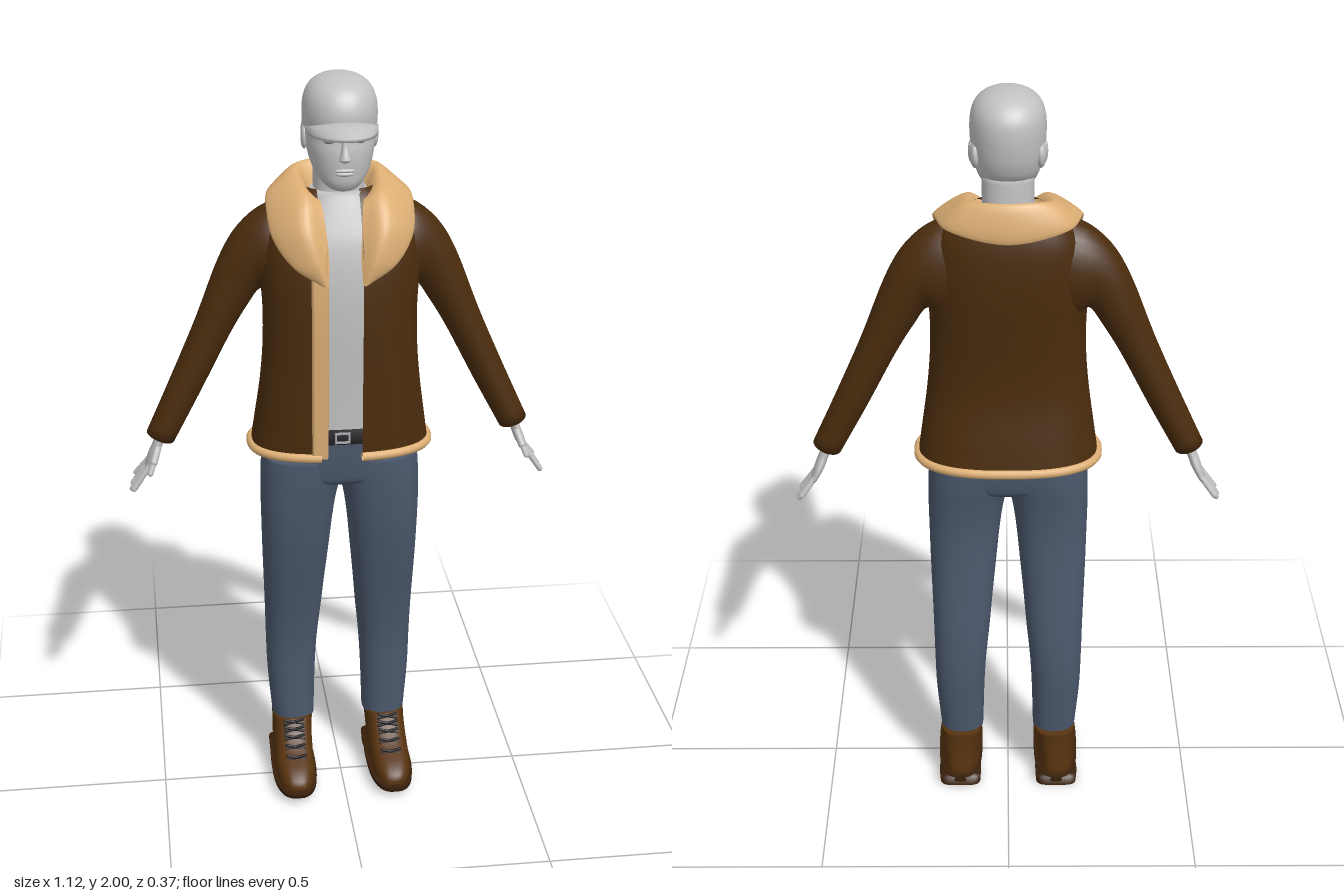
import * as THREE from 'three';

const V = (x, y, z) => new THREE.Vector3(x, y, z);
const mat = (name, color, side = THREE.FrontSide) => {
  const m = new THREE.MeshStandardMaterial({ color, side });
  m.name = name;
  return m;
};

// Surface through rows of points; closed rows wrap round
function grid(rows, closed = true) {
  const n = rows[0].length, pos = [], idx = [];
  rows.forEach(r => r.forEach(p => pos.push(p.x, p.y, p.z)));
  for (let i = 0; i < rows.length - 1; i++) {
    for (let j = 0; j < (closed ? n : n - 1); j++) {
      const k = (j + 1) % n, a = i * n + j, b = i * n + k, c = b + n, d = a + n;
      idx.push(a, b, c, a, c, d);
    }
  }
  const g = new THREE.BufferGeometry();
  g.setAttribute('position', new THREE.Float32BufferAttribute(pos, 3));
  g.setIndex(idx);
  g.computeVertexNormals();
  return g;
}

// Catmull-Rom interpolation between number rows
function smooth(rows, k = 4) {
  const out = [], at = i => rows[Math.max(0, Math.min(rows.length - 1, i))];
  for (let i = 0; i < rows.length - 1; i++) for (let s = 0; s < k; s++) {
    const t = s / k;
    out.push(rows[i].map((p1, c) => {
      const p0 = at(i - 1)[c], p2 = at(i + 1)[c], p3 = at(i + 2)[c];
      return p1 + 0.5 * t * (p2 - p0 + t * (2 * p0 - 5 * p1 + 4 * p2 - p3 + t * (3 * (p1 - p2) + p3 - p0)));
    }));
  }
  out.push(rows[rows.length - 1]);
  return out;
}

// Level cross-section; row = [y, x0, x1, zBack, zFront]
const pw = (v, n) => Math.sign(v) * Math.pow(Math.abs(v), 2 / n);
function ring([y, x0, x1, z0, z1], n, t0 = 0, t1 = Math.PI * 2, count = 40, closed = true) {
  return Array.from({ length: count }, (_, j) => {
    const t = t0 + (t1 - t0) * j / (closed ? count : count - 1);
    return V((x0 + x1) / 2 + (x1 - x0) / 2 * pw(Math.sin(t), n), y,
      (z0 + z1) / 2 + (z1 - z0) / 2 * pw(Math.cos(t), n));
  });
}
const centre = r => {
  const c = r.reduce((s, p) => s.add(p), V(0, 0, 0)).divideScalar(r.length);
  return r.map(() => c.clone());
};
const capped = r => [centre(r[0]), r[0].map(p => p.clone()), ...r, centre(r[r.length - 1])];
const loft = (rows, n = 2.3, k = 4) => grid(capped(smooth(rows, k).map(r => ring(r, n))));
const sym = rows => rows.map(([y, a, z0, z1]) => [y, -a, a, z0, z1]);

function ball(x, y, z, sx, sy, sz) {
  return new THREE.SphereGeometry(1, 20, 14).scale(sx, sy, sz).translate(x, y, z);
}
function rod(a, b, r) {
  const d = b.clone().sub(a), g = new THREE.CapsuleGeometry(r, d.length(), 5, 10);
  g.applyQuaternion(new THREE.Quaternion().setFromUnitVectors(V(0, 1, 0), d.clone().normalize()));
  return g.translate((a.x + b.x) / 2, (a.y + b.y) / 2, (a.z + b.z) / 2);
}
function mirror(g) {
  const m = g.clone().scale(-1, 1, 1), ix = m.index.array;
  for (let i = 0; i < ix.length; i += 3) [ix[i], ix[i + 1]] = [ix[i + 1], ix[i]];
  return m;
}

export function createModel() {
  const model = new THREE.Group();
  const grey = mat('pale grey', 0xc2c2c2), eyeGrey = mat('eye grey', 0x858585);
  const leather = mat('dark brown leather', 0x4a2c0d, THREE.DoubleSide);
  const fleece = mat('tan fleece', 0xdcae74, THREE.DoubleSide);
  const denim = mat('blue denim', 0x4b586c), black = mat('black', 0x17171a);
  const bootBrown = mat('boot brown', 0x57330f), soleBrown = mat('sole brown', 0x3a210b);
  const steel = mat('steel', 0xa9abb0);
  const add = (name, g, m) => {
    const mesh = new THREE.Mesh(g, m);
    mesh.name = name;
    model.add(mesh);
  };
  const pair = (name, g, m) => { add('left' + name, g, m); add('right' + name, mirror(g), m); };

  // Head, neck and face
  add('head', loft(sym([[1.727, 0.02, 0.03, 0.066], [1.733, 0.036, 0, 0.077], [1.75, 0.054, -0.035, 0.086],
    [1.77, 0.068, -0.075, 0.089], [1.8, 0.079, -0.11, 0.092], [1.83, 0.085, -0.125, 0.092],
    [1.86, 0.087, -0.132, 0.088], [1.9, 0.088, -0.135, 0.092], [1.94, 0.08, -0.12, 0.08]])), grey);
  add('neck', loft(sym([[1.62, 0.085, -0.125, 0.05], [1.68, 0.068, -0.115, 0.025], [1.72, 0.064, -0.11, 0.015],
    [1.8, 0.065, -0.105, 0.02]])), grey);
  add('nose', loft(sym([[1.806, 0.008, 0.08, 0.097], [1.813, 0.015, 0.08, 0.112], [1.822, 0.012, 0.08, 0.111],
    [1.845, 0.008, 0.08, 0.101], [1.868, 0.007, 0.075, 0.095]])), grey);
  add('upperLip', ball(0, 1.785, 0.09, 0.026, 0.005, 0.007), grey);
  add('lowerLip', ball(0, 1.776, 0.088, 0.022, 0.006, 0.008), grey);
  pair('Eye', ball(0.035, 1.856, 0.079, 0.016, 0.006, 0.007), eyeGrey);
  pair('Brow', rod(V(0.018, 1.872, 0.088), V(0.056, 1.873, 0.072), 0.005), grey);
  pair('Ear', ball(0.088, 1.843, -0.025, 0.009, 0.03, 0.018).rotateX(0), grey);
  pair('HairTuft', ball(0.079, 1.85, -0.065, 0.013, 0.034, 0.03), grey);

  // Cap with a curved peak
  add('capCrown', loft(sym([[1.876, 0.092, -0.139, 0.093], [1.91, 0.093, -0.141, 0.098], [1.945, 0.089, -0.136, 0.09],
    [1.973, 0.075, -0.118, 0.07], [1.992, 0.048, -0.088, 0.035], [2, 0.012, -0.045, -0.01]]), 2.15), grey);
  const peak = Array.from({ length: 25 }, (_, i) => {
    const u = -1 + i / 12, e = u * u, zi = -0.02 + 0.11 * Math.sqrt(1 - 0.8 * e);
    const zo = zi + 0.097 * Math.pow(1 - e, 0.6), x = 0.09 * u, yi = 1.907 - 0.025 * e, yo = 1.888 - 0.012 * e;
    return [V(x, yi - 0.008, zi), V(x, yo - 0.008, zo), V(x, yo, zo), V(x, (yi + yo) / 2 + 0.006, (zi + zo) / 2), V(x, yi, zi)];
  });
  const peakGeo = grid(peak);
  add('capPeak', peakGeo, mat('peak grey', 0xc2c2c2, THREE.DoubleSide));

  // Shirt and belt
  add('shirt', loft(sym([[1.06, 0.18, -0.125, 0.078], [1.2, 0.175, -0.12, 0.083], [1.35, 0.17, -0.12, 0.092],
    [1.48, 0.17, -0.13, 0.092], [1.58, 0.15, -0.13, 0.078], [1.65, 0.11, -0.125, 0.052], [1.71, 0.068, -0.112, 0.025]]), 2.5), grey);
  add('belt', loft(sym([[1.055, 0.2, -0.14, 0.088], [1.094, 0.197, -0.138, 0.088]]), 2.5, 1), black);
  const buckle = new THREE.Shape([[-0.02, -0.015], [0.02, -0.015], [0.02, 0.015], [-0.02, 0.015]].map(p => new THREE.Vector2(...p)));
  buckle.holes.push(new THREE.Path([[-0.015, -0.01], [-0.015, 0.01], [0.015, 0.01], [0.015, -0.01]].map(p => new THREE.Vector2(...p))));
  add('buckle', new THREE.ExtrudeGeometry(buckle, { depth: 0.005, bevelEnabled: false }).translate(-0.005, 1.075, 0.088), steel);

  // Trousers
  add('hips', loft(sym([[0.915, 0.1, -0.1, 0.03], [0.935, 0.18, -0.13, 0.068], [0.97, 0.205, -0.139, 0.076],
    [1.01, 0.207, -0.142, 0.08], [1.058, 0.2, -0.14, 0.083]]), 2.5), denim);
  pair('Leg', loft([[0.165, 0.07, 0.187, -0.14, -0.01], [0.3, 0.066, 0.198, -0.151, -0.008], [0.4, 0.06, 0.201, -0.155, -0.005],
    [0.5, 0.05, 0.203, -0.15, 0.008], [0.6, 0.041, 0.206, -0.14, 0.027], [0.7, 0.031, 0.209, -0.131, 0.047],
    [0.8, 0.021, 0.211, -0.126, 0.063], [0.88, 0.009, 0.212, -0.13, 0.071], [0.95, -0.01, 0.21, -0.138, 0.076],
    [1.0, -0.02, 0.206, -0.14, 0.077]], 2.4), denim);

  // Boots: upper, sole, heel and laces
  pair('BootUpper', loft([[0.025, 0.08, 0.19, -0.16, 0.155], [0.055, 0.079, 0.191, -0.163, 0.153], [0.08, 0.081, 0.189, -0.16, 0.122],
    [0.105, 0.08, 0.188, -0.157, 0.062], [0.135, 0.078, 0.187, -0.155, 0.02], [0.172, 0.073, 0.187, -0.156, -0.008]], 2.7), bootBrown);
  pair('BootSole', loft([[0.014, 0.078, 0.194, -0.168, 0.15], [0.02, 0.074, 0.197, -0.17, 0.165], [0.038, 0.074, 0.197, -0.17, 0.167]], 2.7, 2), soleBrown);
  pair('BootHeel', loft([[0, 0.079, 0.192, -0.166, -0.085], [0.03, 0.077, 0.194, -0.169, -0.08]], 4, 1), soleBrown);
  pair('BootWelt', loft([[0, 0.085, 0.188, -0.03, 0.12], [0.02, 0.078, 0.194, -0.05, 0.15]], 2.7, 1), soleBrown);
  [[0.098, 0.078], [0.113, 0.047], [0.13, 0.024], [0.147, 0.009], [0.163, -0.004]].forEach(([y, z], i) => {
    for (const s of [-1, 1]) {
      pair(`Lace${i}${s > 0 ? 'a' : 'b'}`, rod(V(0.108, y - s * 0.007, z + 0.002), V(0.158, y + s * 0.007, z + 0.002), 0.004), black);
    }
  });

  // Jacket body, open at the front
  const coat = smooth(sym([[1.025, 0.234, -0.175, 0.102], [1.1, 0.223, -0.163, 0.105], [1.2, 0.209, -0.147, 0.109],
    [1.3, 0.2, -0.146, 0.113], [1.4, 0.198, -0.154, 0.116], [1.5, 0.203, -0.163, 0.113], [1.58, 0.198, -0.165, 0.1],
    [1.64, 0.18, -0.16, 0.07], [1.69, 0.135, -0.147, 0.035], [1.715, 0.09, -0.128, 0.01]]));
  const N = 2.5, edge = (r, x) => Math.asin(Math.pow(Math.min(1, x / r[2]), N / 2));
  const coatRing = (r, count) => ring(r, N, edge(r, 0.045), Math.PI * 2 - edge(r, 0.06), count, false);
  add('jacketBody', grid(coat.map(r => coatRing(r, 72)), false), leather);
  const grow = ([y, x0, x1, z0, z1], d) => [y, x0 - d, x1 + d, z0 - d, z1 + d];
  const strip = coat.filter(r => r[0] < 1.61).map(r => grow(r, 0.006)).map(r => [
    ...ring(grow(r, -0.014), N, Math.PI * 2 - edge(r, 0.088), Math.PI * 2 - edge(r, 0.087), 2, false).slice(0, 1),
    ...ring(r, N, Math.PI * 2 - edge(r, 0.086), Math.PI * 2 - edge(r, 0.046), 6, false),
    ...ring(grow(r, -0.014), N, Math.PI * 2 - edge(r, 0.045), Math.PI * 2, 2, false).slice(0, 1)]);
  add('frontTrim', grid(strip, false), fleece);
  add('hemTrim', new THREE.TubeGeometry(new THREE.CatmullRomCurve3(coatRing(coat[0], 60)), 120, 0.012, 10), fleece);

  // Sleeves; row = upper x, y, lower x, y, z centre, z half-width
  const sleeve = smooth([[0.1, 1.685, 0.1, 1.42, -0.05, 0.085], [0.185, 1.668, 0.165, 1.42, -0.05, 0.084],
    [0.255, 1.612, 0.2, 1.447, -0.054, 0.069], [0.307, 1.525, 0.236, 1.4, -0.057, 0.06], [0.37, 1.365, 0.285, 1.318, -0.057, 0.052],
    [0.44, 1.205, 0.36, 1.172, -0.056, 0.047], [0.507, 1.058, 0.436, 1.03, -0.053, 0.044]])
    .map(([ux, uy, lx, ly, z, h]) => Array.from({ length: 28 }, (_, j) => {
      const t = j / 28 * Math.PI * 2, c = Math.cos(t) / 2;
      return V((ux + lx) / 2 + (ux - lx) * c, (uy + ly) / 2 + (uy - ly) * c, z + h * Math.sin(t));
    }));
  pair('Sleeve', grid(capped(sleeve)), leather);

  // Fleece collar: inner edge, crest and outer edge from lapel tip to centre back
  const half = [
    [V(0.043, 1.5, 0.118), V(0.048, 1.498, 0.121), V(0.056, 1.5, 0.119)],
    [V(0.04, 1.56, 0.1), V(0.075, 1.56, 0.123), V(0.128, 1.545, 0.102)],
    [V(0.045, 1.63, 0.075), V(0.1, 1.64, 0.1), V(0.176, 1.607, 0.054)],
    [V(0.053, 1.69, 0.035), V(0.1, 1.71, 0.04), V(0.186, 1.662, 0)],
    [V(0.065, 1.69, -0.03), V(0.105, 1.732, -0.045), V(0.182, 1.692, -0.06)],
    [V(0.058, 1.68, -0.085), V(0.1, 1.751, -0.118), V(0.15, 1.685, -0.138)],
    [V(0, 1.68, -0.11), V(0, 1.757, -0.152), V(0, 1.662, -0.175)]];
  half.forEach(s => s.push(V(s[2].x * 0.93, s[2].y - 0.008, s[2].z * 0.88)));
  const stations = [...half, ...half.slice(0, 6).reverse().map(s => s.map(p => V(-p.x, p.y, p.z)))];
  const lines = [0, 1, 2, 3].map(i => new THREE.CatmullRomCurve3(stations.map(s => s[i])));
  const collar = Array.from({ length: 73 }, (_, i) =>
    new THREE.CatmullRomCurve3(lines.map(l => l.getPoint(i / 72))).getPoints(18));
  add('collar', grid(collar, false), fleece);

  // Hands
  const palm = smooth([[0.464, 1.065, 0.016, 0.024, -0.053], [0.479, 1.025, 0.013, 0.027, -0.053],
    [0.493, 0.99, 0.013, 0.037, -0.058], [0.508, 0.957, 0.009, 0.036, -0.062]])
    .map(([x, y, u, v, z]) => Array.from({ length: 20 }, (_, j) => {
      const t = j / 20 * Math.PI * 2;
      return V(x + u * Math.cos(t) * 0.92, y + u * Math.cos(t) * 0.39, z + v * Math.sin(t));
    }));
  pair('Palm', grid(capped(palm)), grey);
  [[-0.034, -0.026, 0.547, 0.905], [-0.052, -0.051, 0.552, 0.896], [-0.07, -0.077, 0.549, 0.901], [-0.087, -0.102, 0.54, 0.92]]
    .forEach(([z0, z1, x, y], i) => pair('Finger' + i, rod(V(0.503, 0.968, z0), V(x, y, z1), 0.0075), grey));
  pair('ThumbBase', rod(V(0.478, 1.025, -0.038), V(0.492, 0.985, -0.014), 0.01), grey);
  pair('ThumbTip', rod(V(0.492, 0.985, -0.014), V(0.503, 0.958, -0.002), 0.0075), grey);

  return model;
}
